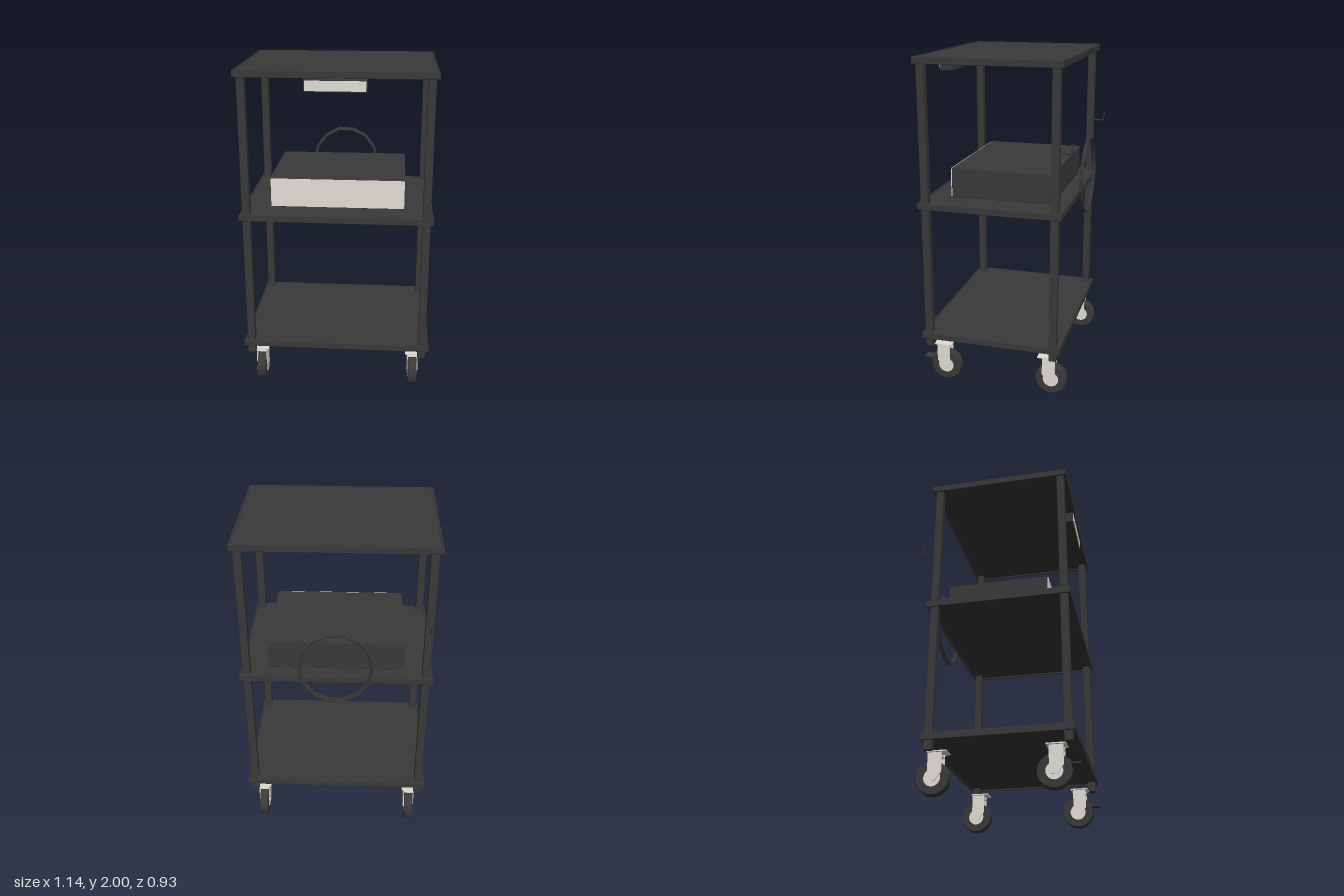
import * as THREE from 'three';
import { RoundedBoxGeometry } from 'three/addons/geometries/RoundedBoxGeometry.js';

export function createModel() {
  const dark = new THREE.MeshStandardMaterial({ color: 0x393939 });
  dark.name = 'charcoal';
  const light = new THREE.MeshStandardMaterial({ color: 0xe2dfd6 });
  light.name = 'warmGrey';

  const model = new THREE.Group();
  model.name = 'equipmentTrolley';

  function add(parent, name, geometry, material, x = 0, y = 0, z = 0) {
    const mesh = new THREE.Mesh(geometry, material);
    mesh.name = name;
    mesh.position.set(x, y, z);
    parent.add(mesh);
    return mesh;
  }
  // Box given by its limits on each axis, with an optional small bevel
  function block(parent, name, material, [x0, x1], [y0, y1], [z0, z1], bevel = 0) {
    const size = [x1 - x0, y1 - y0, z1 - z0];
    const geometry = bevel ? new RoundedBoxGeometry(...size, 1, bevel) : new THREE.BoxGeometry(...size);
    return add(parent, name, geometry, material, (x0 + x1) / 2, (y0 + y1) / 2, (z0 + z1) / 2);
  }

  // Three shelves, each a panel set into a thin raised rim
  for (const [name, y] of [['bottomShelf', 0.293], ['middleShelf', 1.12], ['topShelf', 1.96]]) {
    const shelf = new THREE.Group();
    shelf.name = name;
    model.add(shelf);
    const h = [y, y + 0.04];
    block(shelf, 'panel', dark, [-0.56, 0.56], [y + 0.01, y + 0.035], [-0.402, 0.438]);
    block(shelf, 'frontRim', dark, [-0.57, 0.57], h, [0.437, 0.448], 0.003);
    block(shelf, 'backRim', dark, [-0.57, 0.57], h, [-0.411, -0.4], 0.003);
    for (const s of [-1, 1])
      block(shelf, 'sideRim', dark, s < 0 ? [-0.567, -0.556] : [0.556, 0.567], h, [-0.403, 0.44], 0.003);
  }

  // Corner posts
  for (const x of [-0.528, 0.528])
    for (const z of [-0.367, 0.409])
      add(model, 'post', new RoundedBoxGeometry(0.046, 1.73, 0.046, 1, 0.003), dark, x, 1.105, z);

  // Equipment case on the middle shelf
  block(model, 'equipmentCase', dark, [-0.401, 0.401], [1.164, 1.342], [-0.323, 0.291], 0.003);
  block(model, 'caseFrontPlate', light, [-0.398, 0.398], [1.168, 1.339], [0.29, 0.297]);

  // Small unit hung under the top shelf
  block(model, 'hangingUnit', dark, [-0.177, 0.177], [1.882, 1.953], [0.354, 0.436], 0.003);
  block(model, 'hangingUnitPlate', light, [-0.17, 0.17], [1.889, 1.946], [0.435, 0.44]);

  // Coiled cable behind the trolley
  for (const [r, z] of [[0.215, -0.457], [0.208, -0.446]]) {
    const loop = add(model, 'cableLoop', new THREE.TorusGeometry(r, 0.0065, 8, 14), dark, 0, 1.251, z);
    loop.scale.y = 1.07;
  }

  // Hooks on the back posts
  const hookPath = new THREE.CatmullRomCurve3([
    [1.5, -0.385], [1.5, -0.42], [1.5, -0.443], [1.506, -0.452], [1.522, -0.456], [1.55, -0.46],
  ].map(([y, z]) => new THREE.Vector3(0, y, z)));
  for (const x of [-0.53, 0.53]) {
    add(model, 'hook', new THREE.TubeGeometry(hookPath, 18, 0.005, 6), dark, x);
    add(model, 'hookTip', new THREE.SphereGeometry(0.005, 6, 4), dark, x, 1.55, -0.46);
  }

  // Castors: square-edged tyre, hub, fork, swivel and mounting plate
  const tyreProfile = [[0.045, -0.027], [0.09, -0.027], [0.09, -0.027], [0.095, -0.023], [0.095, -0.023],
    [0.095, 0.023], [0.095, 0.023], [0.09, 0.027], [0.09, 0.027], [0.045, 0.027]]
    .map(([r, y]) => new THREE.Vector2(r, y));
  const tyreGeo = new THREE.LatheGeometry(tyreProfile, 32).rotateZ(Math.PI / 2);
  const hubGeo = new THREE.CylinderGeometry(0.048, 0.048, 0.056, 24).rotateZ(Math.PI / 2);
  const axleGeo = new THREE.CylinderGeometry(0.012, 0.012, 0.068, 10).rotateZ(Math.PI / 2);

  // Fork cheek outline, drawn in z (reversed) and y around the wheel centre
  const cheek = new THREE.Shape();
  cheek.moveTo(-0.053, 0.148);
  cheek.lineTo(-0.053, 0.03);
  cheek.lineTo(-0.018, -0.016);
  cheek.lineTo(0.016, -0.016);
  cheek.lineTo(0.027, 0.015);
  cheek.lineTo(0.027, 0.148);
  cheek.closePath();
  const cheekGeo = new THREE.ExtrudeGeometry(cheek, { depth: 0.005, bevelEnabled: false })
    .translate(0, 0, -0.0025).rotateY(Math.PI / 2);

  for (const x of [-0.477, 0.477])
    for (const z of [-0.348, 0.322]) {
      const front = z > 0;
      const castor = new THREE.Group();
      castor.name = front ? 'frontCastor' : 'backCastor';
      castor.position.set(x, 0.095, z);
      model.add(castor);
      add(castor, 'tyre', tyreGeo, dark);
      add(castor, 'hub', hubGeo, light);
      add(castor, 'axle', axleGeo, light);
      for (const s of [-1, 1]) add(castor, 'forkCheek', cheekGeo, light, s * 0.031);
      add(castor, 'forkCrown', new THREE.BoxGeometry(0.066, 0.007, 0.08), light, 0, 0.121, 0.013);
      add(castor, 'swivel', new THREE.CylinderGeometry(0.025, 0.025, 0.018, 16), light, 0, 0.132, 0.013);
      add(castor, 'mountingPlate', new THREE.BoxGeometry(0.092, 0.007, 0.11), light, 0, 0.145, front ? 0.013 : 0.025);
      // Foot brake on the front pair
      if (front) {
        block(castor, 'brakeArm', dark, [-0.024, 0.024], [0.034, 0.042], [0.075, 0.142]);
        const shoe = add(castor, 'brakeShoe', new THREE.BoxGeometry(0.04, 0.007, 0.035), dark, 0, 0.05, 0.086);
        shoe.rotation.x = 0.9;
      }
    }

  return model;
}
